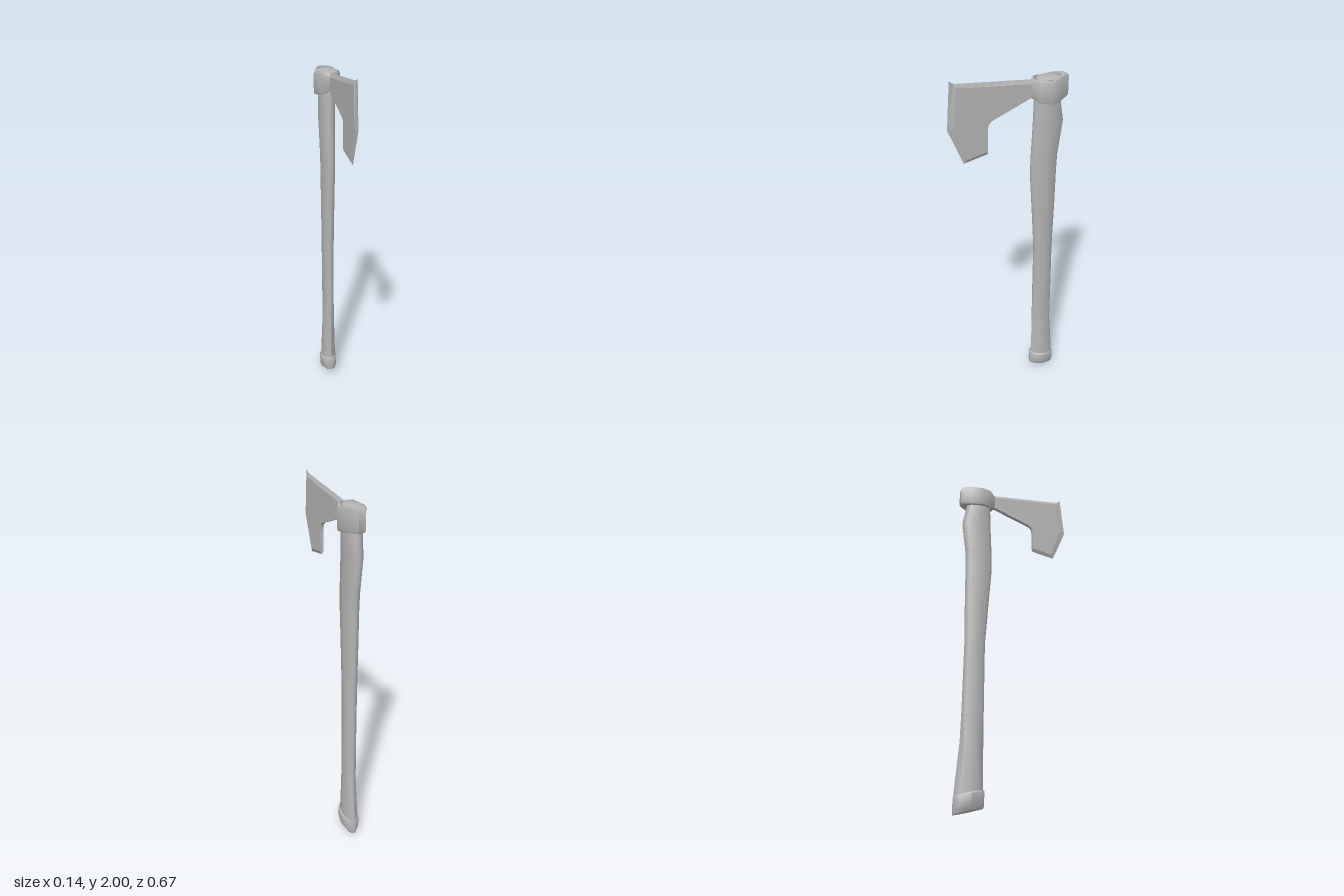
import * as THREE from 'three';
import { toCreasedNormals } from 'three/addons/utils/BufferGeometryUtils.js';

const steel = new THREE.MeshStandardMaterial({ color: 0xb4b4b4 });
steel.name = 'plain grey';

// Skin a list of equal-length rings of [x, y, z]; a one-point end ring becomes a fan.
function loft(rings, crease) {
  const n = Math.max(...rings.map((r) => r.length));
  const pos = [];
  const index = [];
  for (const r of rings) for (let j = 0; j < n; j++) pos.push(...r[j % r.length]);
  for (let i = 0; i < rings.length - 1; i++) {
    for (let j = 0; j < n; j++) {
      const k = (j + 1) % n;
      const a = i * n + j, b = i * n + k, c = a + n, d = b + n;
      if (rings[i + 1].length > 1) index.push(a, c, d);
      if (rings[i].length > 1) index.push(a, d, b);
    }
  }
  const g = new THREE.BufferGeometry();
  g.setAttribute('position', new THREE.Float32BufferAttribute(pos, 3));
  g.setIndex(index);
  return toCreasedNormals(g, crease);
}

// Oval ring between zFront and zBack, its points spaced by evenly turning normals.
// carve (0 to 1) cuts flat facets beside the front and back; slope tilts the ring.
function oval(y, halfX, zFront, zBack, carve = 0, slope = 0) {
  const mid = (zFront + zBack) / 2;
  const half = (zFront - zBack) / 2;
  const quarter = (shift) => {
    const pts = [0, 1, 2, 3].map((j) => {
      const phi = (j * Math.PI) / 6;
      const t = Math.atan2(half * Math.sin(phi), halfX * Math.cos(phi)) - (j === 1 ? shift : 0);
      return new THREE.Vector2(halfX * Math.cos(t), half * Math.sin(t));
    });
    const chord = pts[1].clone().lerp(pts[3], 0.5);
    pts[2].lerp(chord, carve);
    return pts;
  };
  const front = quarter(0.33 * carve);
  const back = quarter(0);
  return Array.from({ length: 12 }, (_, j) => {
    const q = (j < 6 ? front : back)[j % 6 < 4 ? j % 6 : 6 - (j % 6)];
    const x = j > 3 && j < 9 ? -q.x : q.x;
    const z = j < 6 ? q.y : -q.y;
    // the second half starts on the left side, so its x runs from -x back to +x
    return [x, y + slope * z, mid + z];
  });
}

function add(group, name, geometry) {
  const mesh = new THREE.Mesh(geometry, steel);
  mesh.name = name;
  group.add(mesh);
}

// Extrude a [z, y] outline across x, with half thickness given by a rule of z and y.
function plate(outline, halfThickness) {
  const shape = new THREE.Shape(outline.map(([z, y]) => new THREE.Vector2(-z, y)));
  const g = new THREE.ExtrudeGeometry(shape, { depth: 2, bevelEnabled: false });
  g.translate(0, 0, -1);
  g.rotateY(Math.PI / 2);
  const p = g.attributes.position;
  for (let i = 0; i < p.count; i++) {
    p.setX(i, Math.sign(p.getX(i)) * halfThickness(p.getZ(i), p.getY(i)));
  }
  g.computeVertexNormals();
  return g;
}

export function createModel() {
  const axe = new THREE.Group();
  axe.name = 'axe';

  // Curved handle: height, half width, front z, back z, carve
  const handle = [
    [0.08, 0.043, -0.159, -0.312, 0.5],
    [0.14, 0.042, -0.16, -0.308, 0.6],
    [0.37, 0.035, -0.162, -0.288, 1],
    [0.52, 0.035, -0.163, -0.284],
    [0.93, 0.036, -0.164, -0.28],
    [1.2, 0.038, -0.146, -0.286],
    [1.4, 0.04, -0.132, -0.288],
    [1.5, 0.042, -0.134, -0.291],
    [1.69, 0.045, -0.143, -0.317],
    [1.8, 0.047, -0.147, -0.297],
    [1.93, 0.047, -0.156, -0.286],
  ].map((s) => oval(...s));
  add(axe, 'handle', loft([[[0, 0.08, -0.23]], ...handle, [[0, 1.943, -0.22]]], 0.65));

  // Slanted collar wrapped around the foot of the handle
  const slope = 0.26;
  add(axe, 'endCap', loft([
    [[0, 0.024, -0.232]],
    oval(0.025, 0.038, -0.154, -0.312, 0, slope),
    oval(0.05, 0.051, -0.152, -0.314, 0, slope),
    oval(0.107, 0.053, -0.152, -0.313, 0, slope),
    oval(0.115, 0.046, -0.156, -0.311, 0, slope),
    [[0, 0.114, -0.232]],
  ], 0.75));

  // Eye of the head: left half of the outer and inner outlines, front to back
  const outer = [[0.012, -0.122], [0.045, -0.155], [0.072, -0.213], [0.047, -0.28], [0.018, -0.334]];
  const inner = [[0.012, -0.148], [0.036, -0.164], [0.051, -0.215], [0.036, -0.27], [0.012, -0.291]];
  const low = [1.838, 1.815, 1.81, 1.812, 1.82];
  const high = [1.932, 1.937, 1.925, 1.937, 1.937];
  const eyeRing = (half, heights, lift = 0, scale = 1) => {
    const left = half.map(([x, z], i) => [x * scale, heights[i] + lift, -0.22 + (z + 0.22) * scale]);
    const right = left.map(([x, y, z]) => [-x, y, z]);
    return [...left.reverse(), ...right];
  };
  add(axe, 'headEye', loft([
    eyeRing(inner, low),
    eyeRing(outer, low, 0, 0.94),
    eyeRing(outer, low, 0.012),
    eyeRing(outer, high, -0.012),
    eyeRing(outer, high, 0, 0.93),
    eyeRing(inner, high),
    eyeRing(inner, low),
  ], 0.9));

  // Bearded blade, thinning slowly toward the front
  const body = (z) => 0.0113 - 0.006 * (z + 0.13);
  const rim = [[-0.14, 1.933], [0.29, 1.984], [0.313, 2.0], [0.335, 1.76], [0.255, 1.565], [0.122, 1.587]];
  const bevel = [[-0.14, 1.912], [0.262, 1.96], [0.285, 1.965], [0.3, 1.765], [0.238, 1.586], [0.122, 1.605]];
  add(axe, 'blade', plate([
    ...bevel, [0.121, 1.72], [0.116, 1.748], [0.1, 1.763], [-0.116, 1.84], [-0.14, 1.84],
  ], body));

  // Sharpened strip along the top, the cutting edge and the foot of the beard
  const onRim = (z, y) => rim.some(([a, b]) => Math.hypot(a - z, b - y) < 0.001);
  add(axe, 'sharpenedEdge', plate(
    [...rim, ...bevel.slice().reverse()],
    (z, y) => (onRim(z, y) ? 0.0005 : body(z)),
  ));

  return axe;
}
